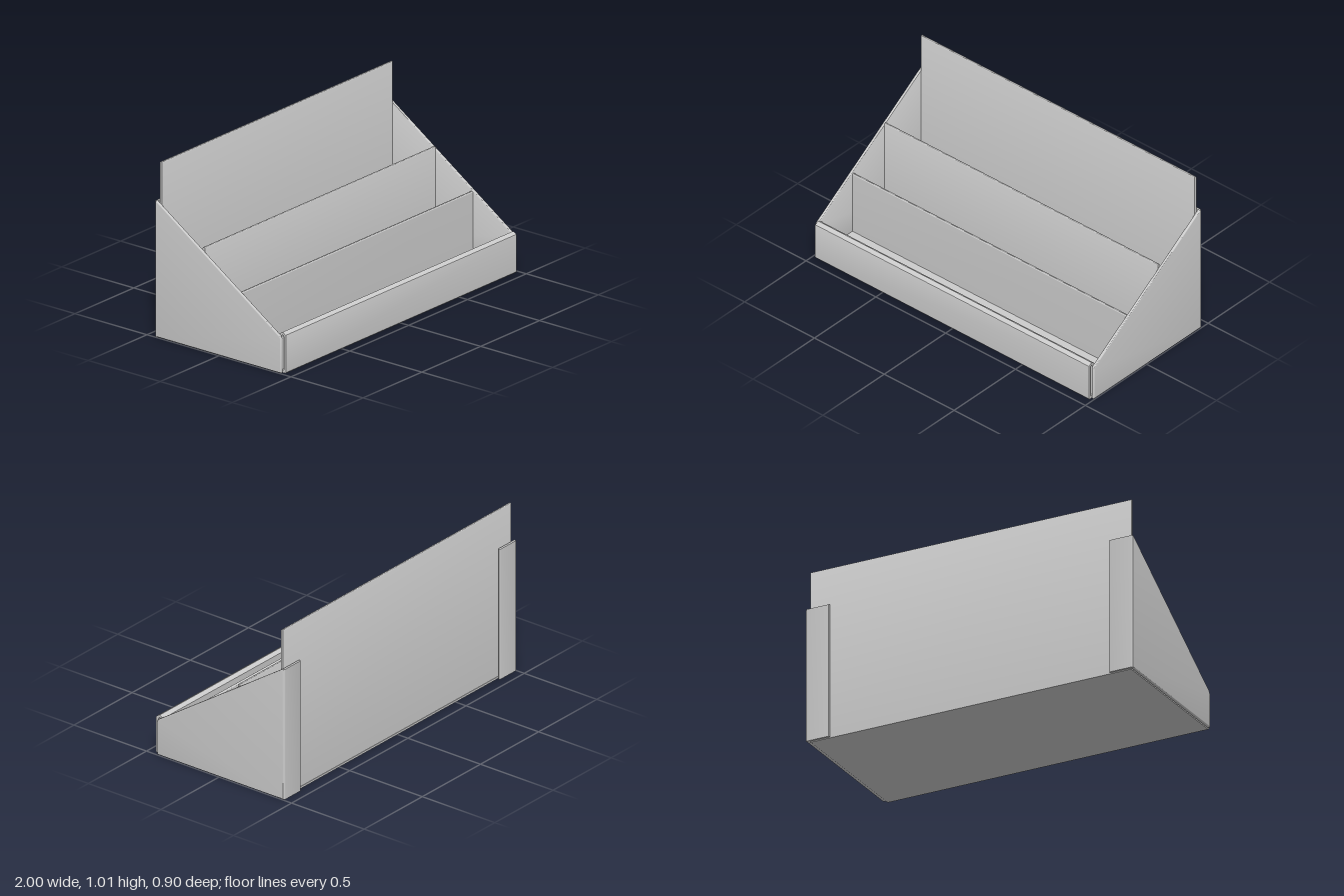
import * as THREE from 'three';
import { toCreasedNormals } from 'three/addons/utils/BufferGeometryUtils.js';

const material = new THREE.MeshStandardMaterial({ color: 0xcccccc });
const HALF = 0.98; // half the inner width
const T = 0.015;   // sheet thickness

function addMesh(group, name, geometry) {
  const mesh = new THREE.Mesh(toCreasedNormals(geometry, 0.6), material);
  mesh.name = name;
  group.add(mesh);
  return mesh;
}

// Extrude a (z, y) profile along x, centred on the given x
function extrudeAcross(shape, width, x = 0, bevel = 0) {
  const g = new THREE.ExtrudeGeometry(shape, {
    depth: width - 2 * bevel, curveSegments: 8, bevelEnabled: bevel > 0,
    bevelSize: bevel, bevelOffset: -bevel, bevelThickness: bevel, bevelSegments: 4,
  });
  g.translate(0, 0, -(width - 2 * bevel) / 2);
  g.rotateY(-Math.PI / 2);
  g.translate(x, 0, 0);
  return g;
}

// Upright sheet profile with a rounded top edge
function sheetProfile(z, top) {
  const r = T / 2;
  const s = new THREE.Shape();
  s.moveTo(z - r, 0.005);
  s.lineTo(z + r, 0.005);
  s.lineTo(z + r, top - r);
  s.absarc(z, top - r, r, 0, Math.PI, false);
  s.closePath();
  return s;
}

const points = (list) => list.map(([a, b]) => new THREE.Vector2(a, b));

export function createModel() {
  const group = new THREE.Group();

  // Floor of the tray
  const floor = new THREE.BoxGeometry(2 * HALF, 0.012, 0.866);
  floor.translate(0, 0.008, 0.004);
  addMesh(group, 'floor', floor);

  // Back panel and the two stepped dividers
  addMesh(group, 'backPanel', extrudeAcross(sheetProfile(-0.419, 1.012), 2 * HALF));
  addMesh(group, 'rearDivider', extrudeAcross(sheetProfile(-0.122, 0.592), 2 * HALF));
  addMesh(group, 'frontDivider', extrudeAcross(sheetProfile(0.137, 0.397), 2 * HALF));

  // Hollow front lip, folded over at the top and down the inside
  const lip = new THREE.Shape(points([
    [0.402, 0.003], [0.445, 0.003], [0.449, 0.008], [0.449, 0.217],
    [0.447, 0.222], [0.429, 0.234], [0.424, 0.235], [0.402, 0.221],
  ]));
  lip.holes.push(new THREE.Path(points([
    [0.416, 0.018], [0.416, 0.213], [0.425, 0.219], [0.434, 0.213], [0.434, 0.018],
  ])));
  addMesh(group, 'frontLip', extrudeAcross(lip, 2 * HALF));

  // Sloping side panels with rounded edges
  const side = new THREE.Shape(points([
    [-0.445, 0.004], [0.428, 0.004], [0.428, 0.203], [0.421, 0.216],
    [-0.436, 0.787], [-0.445, 0.784],
  ]));
  // Plan outline of the rear flap, drawn as (x, -z)
  const flap = new THREE.Shape();
  flap.moveTo(0.862, 0.435);
  flap.lineTo(0.998, 0.435);
  flap.quadraticCurveTo(0.999, 0.448, 0.988, 0.448);
  flap.lineTo(0.862, 0.448);
  flap.absarc(0.862, 0.4415, 0.0065, Math.PI / 2, Math.PI * 1.5, false);

  for (const s of [1, -1]) {
    const prefix = s > 0 ? 'left' : 'right';
    addMesh(group, prefix + 'Side', extrudeAcross(side, 0.018, s * 0.991, 0.006));

    const g = new THREE.ExtrudeGeometry(flap, { depth: 0.782, bevelEnabled: false, curveSegments: 6 });
    g.rotateX(-Math.PI / 2);
    g.translate(0, 0.004, 0);
    // A half turn plus a z shift mirrors the flap without flipping its faces
    if (s < 0) {
      g.rotateZ(Math.PI);
      g.translate(0, 0.79, 0);
    }
    addMesh(group, prefix + 'RearFlap', g);
  }
  return group;
}
